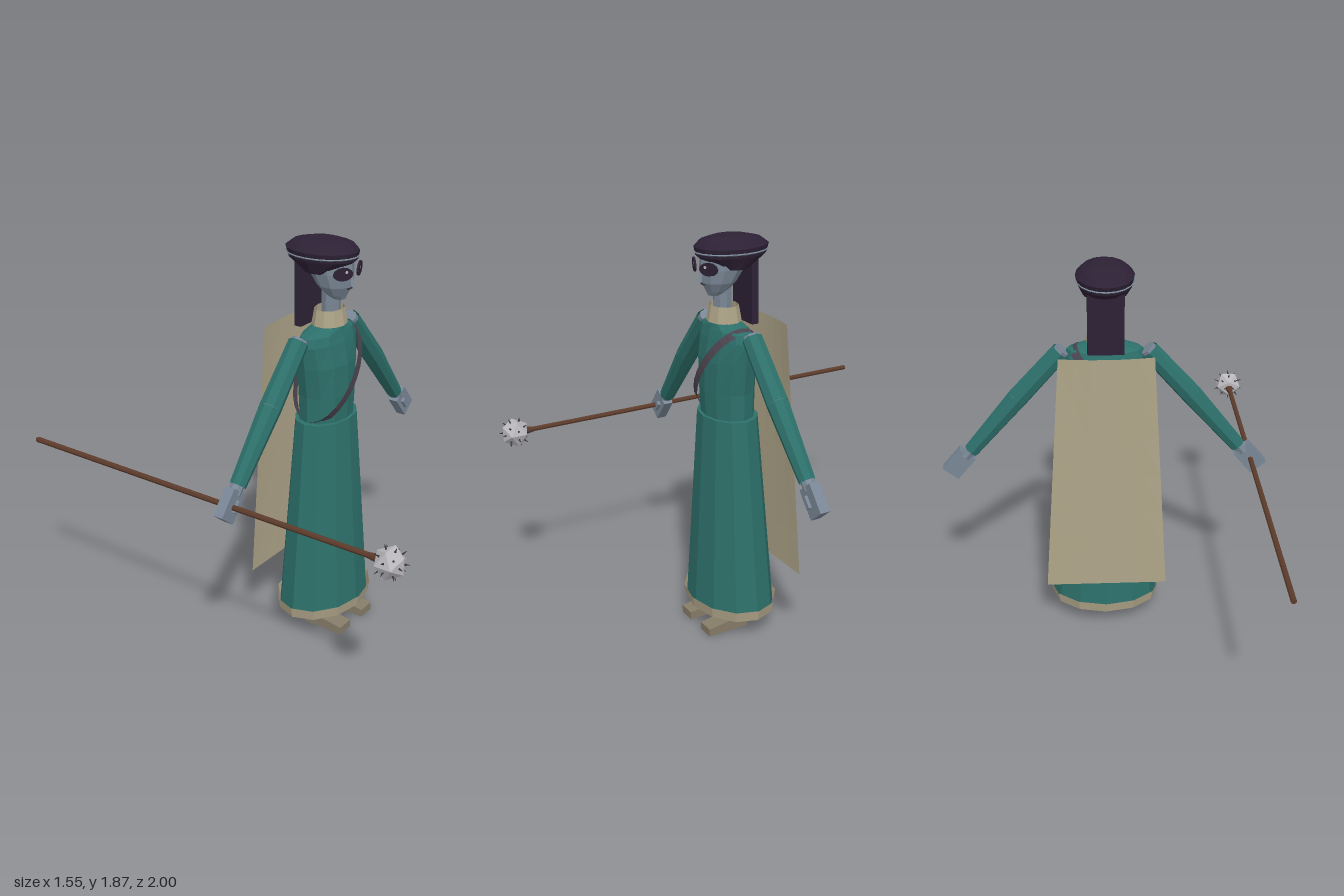
import * as THREE from 'three';

const mat = (name, color, side = THREE.FrontSide) =>
  Object.assign(new THREE.MeshStandardMaterial({ color, flatShading: true, side }), { name });

// Stack of elliptical rings [y, radiusX, radiusZ, centreZ], bottom to top
function loft(rings, n = 12, capBottom = true, capTop = true) {
  const pos = [], idx = [];
  for (const [y, rx, rz, zc] of rings)
    for (let i = 0; i < n; i++) {
      const a = (i / n) * Math.PI * 2;
      pos.push(rx * Math.sin(a), y, zc + rz * Math.cos(a));
    }
  for (let j = 0; j < rings.length - 1; j++)
    for (let i = 0; i < n; i++) {
      const a = j * n + i, b = j * n + (i + 1) % n;
      idx.push(a, b, b + n, a, b + n, a + n);
    }
  const last = (rings.length - 1) * n;
  for (let i = 1; i < n - 1; i++) {
    if (capBottom) idx.push(0, i + 1, i);
    if (capTop) idx.push(last, last + i, last + i + 1);
  }
  const g = new THREE.BufferGeometry();
  g.setAttribute('position', new THREE.Float32BufferAttribute(pos, 3));
  g.setIndex(idx);
  g.computeVertexNormals();
  return g;
}

export function createModel() {
  const model = new THREE.Group();
  model.name = 'robedFigure';
  const D = THREE.DoubleSide;
  const teal = mat('teal cloth', 0x2d706b, D), tan = mat('tan cloth', 0xaea488, D);
  const skin = mat('slate skin', 0x7a8796), hairMat = mat('dark purple hair', 0x2d2135, D);
  const strapMat = mat('mauve leather', 0x4a434e, D), shoeMat = mat('shoe leather', 0x857b67);
  const wood = mat('brown wood', 0x5c3b2b), metal = mat('pale metal', 0xb9b7bb);
  const dark = mat('dark metal', 0x3a383d);

  const add = (name, geo, material, x = 0, y = 0, z = 0, parent = model) => {
    const m = new THREE.Mesh(geo, material);
    m.name = name;
    m.position.set(x, y, z);
    parent.add(m);
    return m;
  };
  // Cylinder running from point a to point b
  const limb = (name, a, b, ra, rb, material, n = 8, open = false) => {
    const p = new THREE.Vector3(...a), q = new THREE.Vector3(...b), d = q.clone().sub(p);
    const m = add(name, new THREE.CylinderGeometry(rb, ra, d.length(), n, 1, open), material);
    m.position.copy(p).add(q).multiplyScalar(0.5);
    m.quaternion.setFromUnitVectors(new THREE.Vector3(0, 1, 0), d.normalize());
    return m;
  };

  // Robe
  add('skirt', loft([[0.11, 0.263, 0.188, 0.157], [1.06, 0.176, 0.125, 0.16]], 12, false, true), teal);
  add('hem', loft([[0.098, 0.265, 0.193, 0.157], [0.15, 0.275, 0.202, 0.157]], 12, false, false), tan);
  add('bodice', loft([
    [1.05, 0.152, 0.11, 0.16], [1.18, 0.155, 0.116, 0.16], [1.32, 0.175, 0.112, 0.16],
    [1.42, 0.188, 0.092, 0.16], [1.46, 0.175, 0.08, 0.16], [1.485, 0.085, 0.068, 0.165],
  ], 12, false, true), teal);
  add('collar', loft([[1.492, 0.088, 0.076, 0.172], [1.565, 0.077, 0.063, 0.172]], 10, false, false), tan);

  // Neck and head
  add('neck', loft([[1.47, 0.075, 0.062, 0.17], [1.5, 0.06, 0.055, 0.17],
    [1.54, 0.041, 0.042, 0.178], [1.69, 0.041, 0.042, 0.178]], 8), skin);
  add('head', loft([
    [1.612, 0.026, 0.03, 0.218], [1.63, 0.046, 0.05, 0.206], [1.67, 0.072, 0.08, 0.196],
    [1.73, 0.087, 0.105, 0.178], [1.8, 0.087, 0.11, 0.17],
  ], 10), skin);
  const nose = add('nose', new THREE.ConeGeometry(0.014, 0.065, 4), skin, 0, 1.712, 0.282);
  nose.rotation.x = -0.15;
  add('mouth', new THREE.BoxGeometry(0.032, 0.006, 0.008), dark, 0, 1.665, 0.273);
  for (const s of [-1, 1]) {
    const lens = new THREE.Group();
    lens.name = s > 0 ? 'leftEyePatch' : 'rightEyePatch';
    lens.position.set(s * 0.064, 1.742, 0.28);
    lens.rotation.set(0, s * 0.38, s * 0.1);
    const patch = add('darkPatch', new THREE.CylinderGeometry(0.05, 0.05, 0.008, 12), hairMat, 0, 0, 0, lens);
    patch.rotation.x = Math.PI / 2;
    patch.scale.z = 0.58;
    add('eyeGlint', new THREE.CircleGeometry(0.008, 6), metal, -s * 0.014, 0.01, 0.006, lens);
    model.add(lens);
  }

  // Hair, band and long tail
  add('hairCap', loft([
    [1.73, 0.1, 0.082, 0.142], [1.785, 0.124, 0.163, 0.132], [1.825, 0.132, 0.173, 0.13],
    [1.85, 0.106, 0.145, 0.135], [1.868, 0.055, 0.08, 0.145],
  ], 16), hairMat);
  const band = add('headBand', new THREE.TorusGeometry(1, 0.022, 4, 20), skin, 0, 1.803, 0.131);
  band.rotation.x = Math.PI / 2;
  band.scale.set(0.13, 0.17, 0.18);
  add('hairTail', new THREE.BoxGeometry(0.165, 0.31, 0.034), hairMat, 0, 1.63, 0.059);

  // Cape: a flaring, slightly bowed sheet
  const cape = new THREE.PlaneGeometry(2, 1, 6, 6), cp = cape.attributes.position;
  for (let i = 0; i < cp.count; i++) {
    const u = cp.getX(i), t = 0.5 - cp.getY(i);
    cp.setXYZ(i, u * (0.215 + 0.075 * t), 1.49 - 1.2 * t,
      -0.022 - 0.034 * t - 0.018 * (1 - u * u) * (1 - t));
  }
  cape.computeVertexNormals();
  add('cape', cape, tan);

  // Shoulder strap: a ribbon looping round the bodice
  const strap = new THREE.PlaneGeometry(1, 1, 28, 1), sp = strap.attributes.position;
  const ux = 0.56, uy = 0.83;
  for (let i = 0; i < sp.count; i++) {
    const a = (sp.getX(i) + 0.5) * Math.PI * 2, w = sp.getY(i) * 0.04;
    const r = 0.25 * Math.cos(a);
    sp.setXYZ(i, 0.005 + ux * r - uy * w, 1.262 + uy * r + ux * w, 0.16 + 0.147 * Math.sin(a));
  }
  strap.computeVertexNormals();
  add('shoulderStrap', strap, strapMat);

  // Arms, hands, legs and shoes
  for (const s of [-1, 1]) {
    const side = s > 0 ? 'left' : 'right';
    const elbow = [s * 0.405, 1.22, 0.147];
    limb(side + 'UpperSleeve', [s * 0.2, 1.452, 0.147], elbow, 0.046, 0.05, teal, 8, true);
    limb(side + 'LowerSleeve', elbow, [s * 0.635, 0.945, 0.144], 0.05, 0.037, teal, 8, true);
    limb(side + 'Arm', [s * 0.192, 1.461, 0.147], elbow, 0.038, 0.036, skin);
    limb(side + 'Forearm', elbow, [s * 0.665, 0.915, 0.144], 0.036, 0.03, skin);
    const hand = add(side + 'Hand', new THREE.BoxGeometry(0.092, 0.135, 0.048), skin, s * 0.697, 0.88, 0.146);
    hand.rotation.z = s * 0.7;
    const thumb = add(side + 'Thumb', new THREE.BoxGeometry(0.022, 0.055, 0.025), skin, s * 0.685, 0.875, 0.172);
    thumb.rotation.z = s * 0.7;

    limb(side + 'Leg', [s * 0.093, 0.085, 0.155], [s * 0.09, 0.75, 0.158], 0.034, 0.055, skin);
    const shoe = new THREE.BoxGeometry(0.085, 0.065, 0.205), hp = shoe.attributes.position;
    for (let i = 0; i < hp.count; i++)
      if (hp.getY(i) > 0 && hp.getZ(i) > 0) hp.setY(i, 0.005);
    shoe.computeVertexNormals();
    add(side + 'Shoe', shoe, shoeMat, s * 0.093, 0.0325, 0.2425);
  }

  // Mace held level in the right hand
  const mx = -0.7, my = 0.877, mz = 0.928;
  limb('maceShaft', [mx, my, -1], [mx, my, 0.9], 0.013, 0.012, wood);
  limb('maceSocket', [mx, my, 0.83], [mx, my, 0.88], 0.012, 0.02, wood);
  const ball = new THREE.IcosahedronGeometry(0.07, 0);
  add('maceHead', ball, metal, mx, my, mz);
  const bp = ball.attributes.position;
  for (let i = 0; i < bp.count; i += 3) {
    const c = new THREE.Vector3();
    for (let k = 0; k < 3; k++) c.add(new THREE.Vector3().fromBufferAttribute(bp, i + k));
    c.normalize();
    const at = (r) => [mx + c.x * r, my + c.y * r, mz + c.z * r];
    limb('maceSpike', at(0.05), at(0.077), 0.006, 0.0005, dark, 5);
  }
  return model;
}
